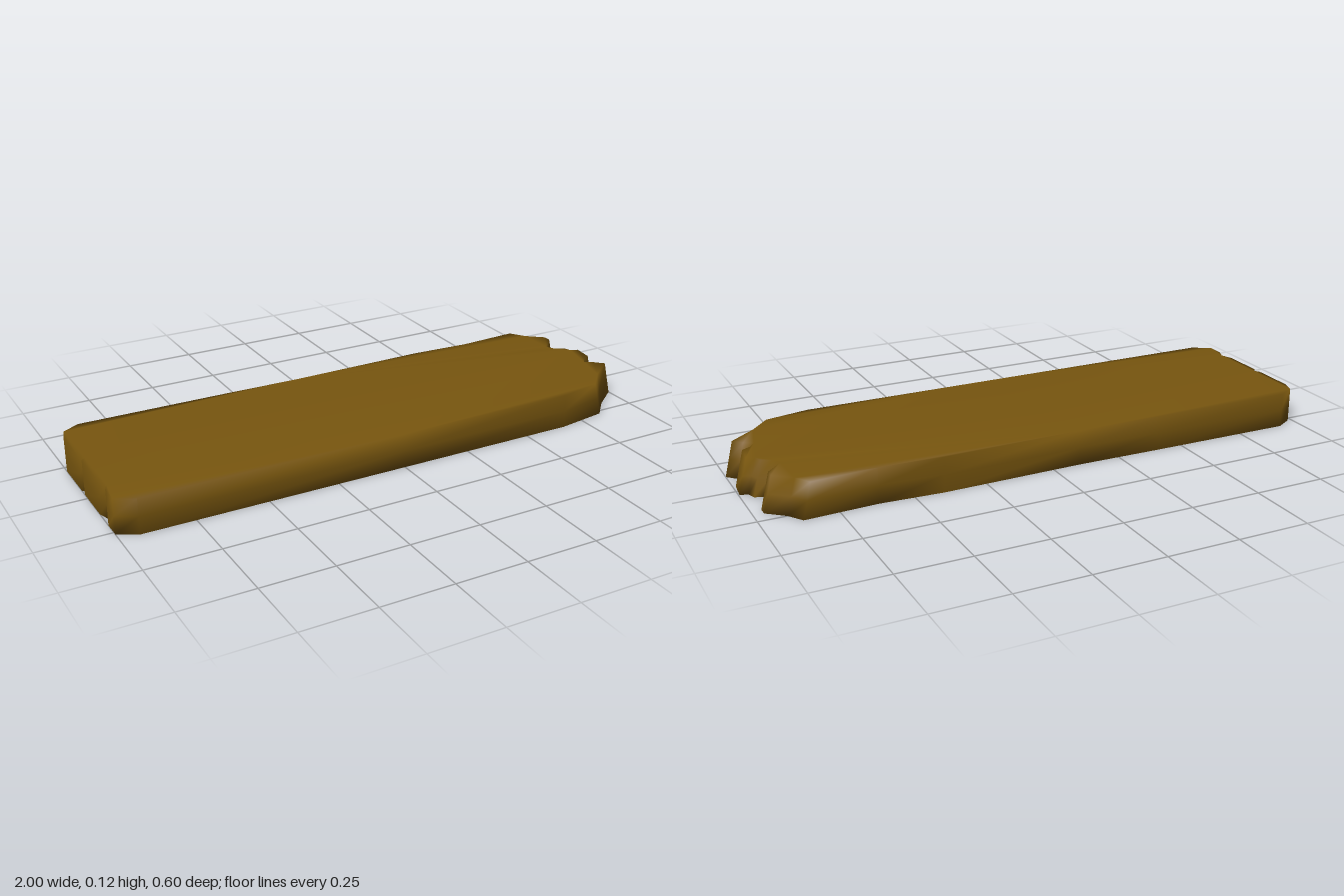
import * as THREE from 'three';

// Plank outline at the base as [x, z]: back edge, broken end, front edge, worn end
const OUTLINE = [
  [-0.925, -0.302], [-0.4, -0.298], [-0.1, -0.293], [0.4, -0.302], [0.62, -0.29], [0.87, -0.302],
  [0.905, -0.25], [0.965, -0.2], [0.965, -0.17], [0.91, -0.115], [0.925, -0.085], [0.96, -0.068],
  [0.97, -0.04], [0.997, -0.03], [0.99, 0.04], [0.96, 0.055], [0.94, 0.08], [0.97, 0.1],
  [1, 0.13], [0.91, 0.2], [0.845, 0.27], [0.66, 0.3],
  [0, 0.3], [-0.935, 0.3], [-1, 0.262], [-1, 0.2], [-0.985, 0.165], [-1, 0.12],
  [-1, -0.03], [-0.985, -0.045], [-1, -0.06], [-1, -0.22], [-0.985, -0.268],
];
const HEIGHTS = [0, 0.062, 0.123];

function plankGeometry() {
  const n = OUTLINE.length, top = (HEIGHTS.length - 1) * n;
  const positions = [], index = [];

  // Stacked outlines; the broken end leans back towards the top
  for (const y of HEIGHTS) {
    for (const [x, z] of OUTLINE) {
      const lean = x > 0.8 ? 0.03 * y / 0.123 : 0;
      positions.push(x - lean, y, z);
    }
  }

  // Side walls
  for (let r = 0; r < HEIGHTS.length - 1; r++) {
    for (let i = 0; i < n; i++) {
      const a = r * n + i, b = r * n + (i + 1) % n;
      index.push(a, a + n, b, b, a + n, b + n);
    }
  }

  // Top and bottom faces
  const flat = OUTLINE.map(([x, z]) => new THREE.Vector2(x, -z));
  for (const [a, p, q] of THREE.ShapeUtils.triangulateShape(flat, [])) {
    const ccw = THREE.ShapeUtils.area([flat[a], flat[p], flat[q]]) > 0;
    const [b, c] = ccw ? [p, q] : [q, p];
    index.push(top + a, top + b, top + c, a, c, b);
  }

  const geometry = new THREE.BufferGeometry();
  geometry.setAttribute('position', new THREE.Float32BufferAttribute(positions, 3));
  geometry.setIndex(index);
  geometry.computeVertexNormals(); // shared corners give softly worn edges
  return geometry;
}

export function createModel() {
  const group = new THREE.Group();
  group.name = 'brokenPlank';
  const plank = new THREE.Mesh(plankGeometry(), new THREE.MeshStandardMaterial({ color: 0x78560f }));
  plank.name = 'plank';
  group.add(plank);
  return group;
}
